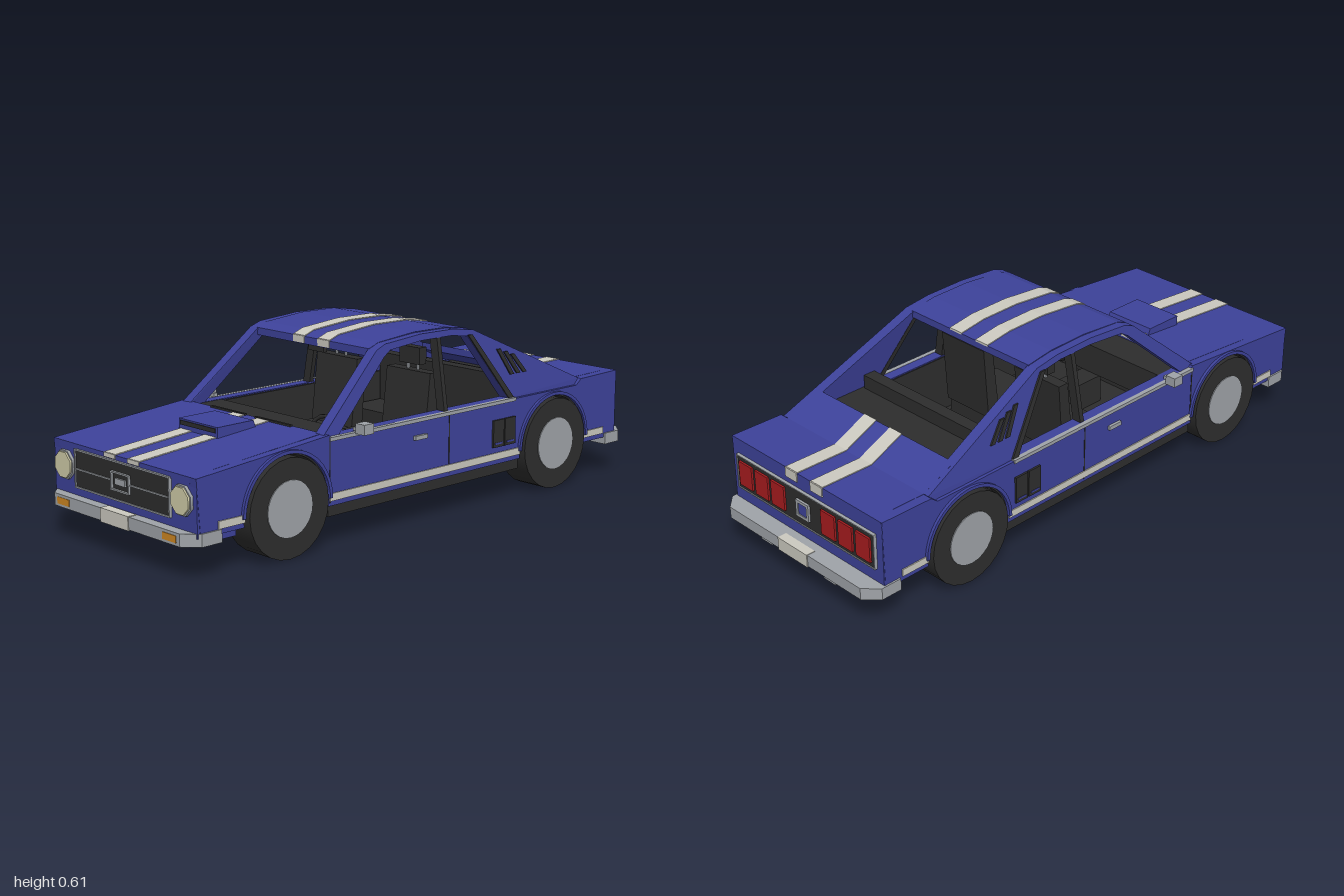
import * as THREE from 'three';

const mat = (name, color, side = THREE.FrontSide) => {
  const m = new THREE.MeshStandardMaterial({ color, side });
  m.name = name;
  return m;
};

export function createModel() {
  const car = new THREE.Group();
  car.name = 'car';
  const blue = mat('blue paint', 0x3d429a), black = mat('black trim', 0x2d2d2d);
  const cream = mat('cream stripe', 0xcccac0), grey = mat('grey metal', 0x9fa3a8);
  const lens = mat('headlight lens', 0xd0cca8), red = mat('tail light red', 0xa81c1f);
  const orange = mat('indicator orange', 0xcf8722);

  const add = (name, geo, m) => {
    const mesh = new THREE.Mesh(geo, m);
    mesh.name = name;
    car.add(mesh);
    return mesh;
  };
  // Box given by its limits on each axis
  const box = (name, m, x0, x1, y0, y1, z0, z1) => add(name,
    new THREE.BoxGeometry(x1 - x0, y1 - y0, z1 - z0).translate((x0 + x1) / 2, (y0 + y1) / 2, (z0 + z1) / 2), m);
  const pair = (name, m, x0, x1, ...rest) => {
    box(name + 'Left', m, x0, x1, ...rest);
    box(name + 'Right', m, -x1, -x0, ...rest);
  };
  const poly = pts => new THREE.Shape(pts.map(p => new THREE.Vector2(p[0], p[1])));
  // Side profile (z, y) extruded across x
  const slab = (name, m, shape, x0, x1, lean = 0) => {
    const geo = new THREE.ExtrudeGeometry(shape, { depth: x1 - x0, bevelEnabled: false, curveSegments: 14 })
      .rotateY(-Math.PI / 2).translate(x1, 0, 0);
    if (lean) {
      const p = geo.attributes.position;
      for (let i = 0; i < p.count; i++) p.setX(i, p.getX(i) - lean * Math.max(0, p.getY(i) - 0.35) * 0.18);
      geo.computeVertexNormals();
    }
    return add(name, geo, m);
  };
  const slabPair = (name, m, shape, x0, x1, leaning = false) => {
    slab(name + 'Left', m, shape, x0, x1, leaning ? 1 : 0);
    slab(name + 'Right', m, shape, -x1, -x0, leaning ? -1 : 0);
  };
  // Thin sheet following a (z, y) path
  const sheet = (path, up, down) => poly([...path.map(([z, y]) => [z, y + up]), ...path.map(([z, y]) => [z, y - down]).reverse()]);

  const axles = [0.623, -0.597], wheelY = 0.158, archR = 0.17;
  const hoodPath = [[0.968, 0.31], [0.45, 0.355]];
  const roofPath = [[0.2, 0.578], [0.16, 0.593], [0, 0.607], [-0.15, 0.605], [-0.25, 0.59]];
  const deckPath = [[-0.62, 0.42], [-0.745, 0.363], [-0.94, 0.366]];

  // Lower body sides with wheel arches
  const side = poly([[0.955, 0.13], [0.968, 0.31], [0.45, 0.354], [0.44, 0.342], [-0.72, 0.342], [-0.745, 0.362], [-0.94, 0.366], [-0.935, 0.13]]);
  for (const z of [...axles].reverse()) side.absarc(z, wheelY, archR, Math.PI + 0.165, -0.165, true);
  slabPair('bodySide', blue, side, 0.32, 0.356);

  // Body ends, floor and wheel wells
  box('floorPan', blue, -0.31, 0.31, 0.1, 0.13, -0.44, 0.46);
  box('noseBlock', blue, -0.322, 0.322, 0.1, 0.3, 0.795, 0.95);
  box('frontFascia', blue, -0.355, 0.355, 0.13, 0.309, 0.92, 0.966);
  box('frontValance', blue, -0.31, 0.31, 0.093, 0.13, 0.88, 0.958);
  box('tailBlock', blue, -0.322, 0.322, 0.12, 0.34, -0.935, -0.77);
  box('tailFascia', blue, -0.355, 0.355, 0.13, 0.362, -0.94, -0.9);
  box('frontWheelWell', black, -0.25, 0.25, 0.12, 0.305, 0.45, 0.8);
  box('rearWheelWell', black, -0.25, 0.25, 0.12, 0.345, -0.775, -0.43);
  pair('sill', black, 0.29, 0.35, 0.095, 0.14, -0.425, 0.45);

  // Hood, roof, rear deck and their twin stripes
  slab('hood', blue, sheet(hoodPath, 0, 0.02), -0.325, 0.325);
  slab('roof', blue, sheet(roofPath, 0, 0.025), -0.27, 0.27);
  slab('rearDeck', blue, sheet(deckPath, 0, 0.025), -0.322, 0.322);
  for (const [name, path] of [['hoodStripe', hoodPath], ['roofStripe', roofPath], ['deckStripe', deckPath]])
    slabPair(name, cream, sheet(path, 0.003, 0.004), 0.032, 0.087);
  pair('roofEdgeStripe', cream, 0.032, 0.087, 0.556, 0.579, 0.199, 0.203);
  pair('noseStripe', cream, 0.032, 0.087, 0.298, 0.312, 0.966, 0.971);
  pair('tailStripe', cream, 0.032, 0.087, 0.335, 0.368, -0.944, -0.94);
  slab('hoodScoop', blue, poly([[0.675, 0.33], [0.675, 0.37], [0.53, 0.371], [0.52, 0.345]]), -0.095, 0.095);
  box('scoopSlot', black, -0.086, 0.086, 0.351, 0.365, 0.674, 0.678);

  // Leaning cabin sides with window openings
  const cabin = poly([[0.47, 0.342], [0.46, 0.355], [0.2, 0.577], [0.16, 0.592], [0, 0.604], [-0.15, 0.602], [-0.245, 0.589], [-0.745, 0.363], [-0.72, 0.342]]);
  cabin.holes.push(poly([[0.4, 0.346], [0.17, 0.553], [0.14, 0.571], [0, 0.583], [-0.14, 0.582], [-0.215, 0.572], [-0.375, 0.346]]));
  slabPair('cabinSide', blue, cabin, 0.307, 0.345, true);
  slabPair('centrePillar', black, poly([[-0.07, 0.34], [-0.075, 0.585], [-0.092, 0.585], [-0.087, 0.34]]), 0.31, 0.343, true);
  slabPair('rearWindowTrim', black, poly([[-0.215, 0.575], [-0.235, 0.575], [-0.4, 0.346], [-0.375, 0.346]]), 0.306, 0.351, true);
  for (let i = 0; i < 3; i++) {
    const z = -0.345 - 0.032 * i, y = 0.512 - 0.012 * i;
    slabPair('louvre' + (i + 1), black, poly([[z, y], [z - 0.018, y], [z - 0.07, 0.422], [z - 0.052, 0.422]]), 0.34, 0.35, true);
  }

  // Side trim
  pair('beltStrip', grey, 0.345, 0.361, 0.335, 0.347, -0.4, 0.45);
  for (const [i, [z0, z1]] of [[-0.425, 0.45], [0.79, 0.89], [-0.87, -0.765]].entries())
    pair('sideStripe' + (i + 1), cream, 0.352, 0.36, 0.146, 0.17, z0, z1);
  for (const z of [0.448, -0.08]) pair('doorGap', black, 0.352, 0.3575, 0.14, 0.335, z - 0.002, z + 0.002);
  pair('doorHandle', grey, 0.355, 0.366, 0.278, 0.292, 0.03, 0.085);
  for (const z of [-0.34, -0.397]) {
    pair('sideVent', black, 0.352, 0.363, 0.19, 0.283, z, z + 0.052);
    pair('ventInset', blue, 0.36, 0.3645, 0.2, 0.206, z + 0.008, z + 0.044);
  }
  pair('mirrorArm', grey, 0.34, 0.365, 0.348, 0.36, 0.32, 0.335);
  pair('mirror', grey, 0.362, 0.401, 0.343, 0.376, 0.305, 0.345);

  // Wheels, arch liners and flares
  const arch = (z, r0, r1) => {
    const s = new THREE.Shape();
    s.absarc(z, wheelY, r1, Math.PI, 0, true);
    s.absarc(z, wheelY, r0, 0, Math.PI, false);
    return s;
  };
  for (const [i, z] of axles.entries()) {
    const end = i ? 'rear' : 'front';
    slabPair(end + 'ArchLiner', black, arch(z, 0.163, 0.171), 0.25, 0.354);
    slabPair(end + 'ArchFlare', blue, arch(z, 0.168, 0.179), 0.354, 0.366);
    for (const s of [-1, 1]) {
      const disc = (r, x0, x1, n) => new THREE.CylinderGeometry(r, r, x1 - x0, n).rotateZ(Math.PI / 2).translate(s * (x0 + x1) / 2, wheelY, z);
      add(end + 'Tyre', disc(0.158, 0.256, 0.369, 24), black);
      add(end + 'Hub', disc(0.09, 0.25, 0.372, 24), grey);
    }
  }

  // Bumpers with chamfered corners
  for (const s of [1, -1]) {
    const plan = poly([[-0.362, 0.88], [0.362, 0.88], [0.362, 0.955], [0.315, 1], [-0.315, 1], [-0.362, 0.955]]);
    const geo = new THREE.ExtrudeGeometry(plan, { depth: 0.04, bevelEnabled: false }).rotateX(Math.PI / 2).translate(0, 0.145, 0);
    if (s < 0) geo.rotateY(Math.PI);
    add(s > 0 ? 'frontBumper' : 'rearBumper', geo, grey);
    box('numberPlate', cream, -0.07, 0.07, 0.102, 0.147, s > 0 ? 0.97 : -1.003, s > 0 ? 1.003 : -0.97);
  }
  pair('indicator', orange, 0.235, 0.299, 0.114, 0.136, 0.995, 1.002);
  pair('exhaust', grey, 0.127, 0.18, 0.082, 0.1, -0.985, -0.9);

  // Rectangular frame made from four bars
  const frame = (name, m, x, y, w, h, t, z0, z1) => {
    for (const s of [-1, 1]) {
      box(name, m, x - w, x + w, y + s * (h - t / 2) - t / 2, y + s * (h - t / 2) + t / 2, z0, z1);
      box(name, m, x + s * (w - t / 2) - t / 2, x + s * (w - t / 2) + t / 2, y - h, y + h, z0, z1);
    }
  };
  // Grille and octagonal headlights
  box('grille', black, -0.235, 0.235, 0.174, 0.293, 0.96, 0.972);
  frame('grilleFrame', grey, 0, 0.2335, 0.238, 0.062, 0.005, 0.96, 0.976);
  pair('grilleBar', grey, 0.045, 0.23, 0.23, 0.235, 0.97, 0.976);
  frame('grilleCentreFrame', grey, 0, 0.233, 0.046, 0.03, 0.005, 0.97, 0.98);
  box('grilleCentre', grey, -0.025, 0.025, 0.223, 0.243, 0.97, 0.978);
  for (const s of [-1, 1]) {
    const lamp = (r, z, d) => new THREE.CylinderGeometry(r, r, d, 8, 1, false, Math.PI / 8).rotateX(Math.PI / 2).translate(s * 0.293, 0.236, z);
    add('headlightRim', lamp(0.049, 0.968, 0.016), grey);
    add('headlight', lamp(0.044, 0.973, 0.018), lens);
  }

  // Tail panel
  box('tailPanel', black, -0.325, 0.325, 0.195, 0.312, -0.948, -0.93);
  frame('tailPanelFrame', grey, 0, 0.2535, 0.328, 0.061, 0.004, -0.951, -0.93);
  for (const x of [0.12, 0.2, 0.28]) pair('tailLight', red, x - 0.032, x + 0.032, 0.212, 0.297, -0.955, -0.945);
  box('tailCentre', blue, -0.022, 0.022, 0.232, 0.276, -0.953, -0.945);
  frame('tailCentreFrame', grey, 0, 0.254, 0.03, 0.03, 0.01, -0.956, -0.945);

  // Interior
  box('cabinFloor', black, -0.31, 0.31, 0.13, 0.14, -0.43, 0.45);
  pair('doorLining', black, 0.305, 0.322, 0.13, 0.34, -0.62, 0.45);
  box('dashboard', black, -0.306, 0.306, 0.24, 0.345, 0.33, 0.455);
  box('console', black, -0.04, 0.04, 0.14, 0.24, -0.05, 0.34);
  box('parcelShelf', black, -0.306, 0.306, 0.34, 0.365, -0.63, -0.43);
  box('rearSeatBack', black, -0.295, 0.295, 0.14, 0.413, -0.445, -0.4);
  box('rearSeatCushion', black, -0.295, 0.295, 0.14, 0.24, -0.41, -0.24);
  pair('seatCushion', black, 0.075, 0.275, 0.14, 0.225, -0.08, 0.14);
  slabPair('seatBack', black, poly([[-0.045, 0.2], [-0.075, 0.46], [-0.115, 0.46], [-0.095, 0.2]]), 0.072, 0.273);
  pair('headrest', black, 0.125, 0.218, 0.48, 0.537, -0.112, -0.08);
  for (const x of [0.146, 0.192]) pair('headrestPost', grey, x, x + 0.008, 0.455, 0.485, -0.1, -0.092);
  box('rearViewMirror', black, -0.037, 0.037, 0.531, 0.556, 0.165, 0.18);
  box('rearViewMirrorStem', black, -0.006, 0.006, 0.55, 0.575, 0.168, 0.176);
  add('steeringWheel', new THREE.TorusGeometry(0.055, 0.007, 6, 16).rotateX(-0.35).translate(0.145, 0.3, 0.29), black);
  add('steeringColumn', new THREE.CylinderGeometry(0.01, 0.01, 0.07, 8).rotateX(Math.PI / 2 - 0.35).translate(0.145, 0.29, 0.315), black);
  for (const x of [-0.2, 0.02]) box('wiper', black, x, x + 0.17, 0.352, 0.36, 0.452, 0.462);

  return car;
}
